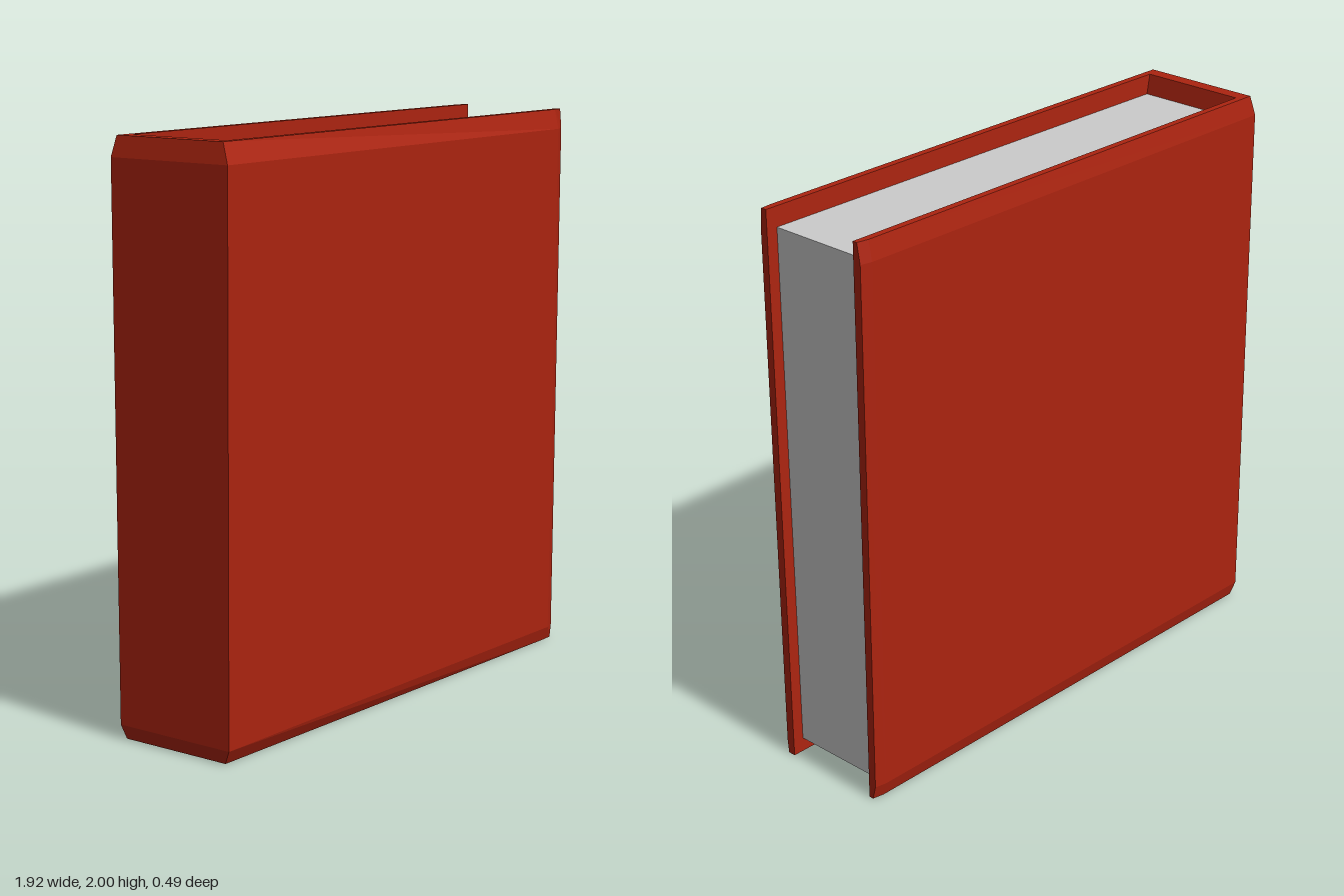
import * as THREE from 'three';

// Horizontal rings of the U-shaped cover, from bottom to top:
// y, spine outside x, spine inside x, back z, front outside z, fore-edge outside z, front inside z
const RINGS = [
  [0.0, -0.945, -0.895, -0.23, 0.2, 0.193, 0.168],
  [0.05, -0.96, -0.88, -0.243, 0.228, 0.198, 0.169],
  [1.93, -0.96, -0.88, -0.243, 0.245, 0.212, 0.187],
  [2.0, -0.945, -0.895, -0.23, 0.215, 0.206, 0.188],
];
const BACK_IN = -0.205;

function ringOutline([, xo, xi, zb, zf, ze, zi]) {
  return [
    [xo, zb], [0.915, zb], [0.957, zb + 0.008], [0.957, BACK_IN], [xi, BACK_IN],
    [xi, zi], [0.957, zi - 0.003], [0.957, ze], [0.915, ze + (zf - ze) * 0.45], [xo, zf],
  ].map(([x, z]) => new THREE.Vector2(x, z));
}

// Loft through the rings, closed by a cap at each end
function coverGeometry() {
  const outlines = RINGS.map(ringOutline);
  const n = outlines[0].length;
  const positions = [], index = [];
  outlines.forEach((ring, r) => ring.forEach((p) => positions.push(p.x, RINGS[r][0], p.y)));
  for (let r = 0; r < RINGS.length - 1; r++) {
    for (let i = 0; i < n; i++) {
      const a = r * n + i, b = r * n + (i + 1) % n;
      index.push(a, a + n, b + n, a, b + n, b);
    }
  }
  const top = (RINGS.length - 1) * n;
  for (const [a, b, c] of THREE.ShapeUtils.triangulateShape(outlines[0], [])) index.push(a, b, c);
  for (const [a, b, c] of THREE.ShapeUtils.triangulateShape(outlines[RINGS.length - 1], [])) {
    index.push(top + a, top + c, top + b);
  }
  const geometry = new THREE.BufferGeometry();
  geometry.setAttribute('position', new THREE.Float32BufferAttribute(positions, 3));
  geometry.setIndex(index);
  const flat = geometry.toNonIndexed();
  flat.computeVertexNormals();
  return flat;
}

export function createModel() {
  const book = new THREE.Group();
  book.name = 'book';

  // Cover: back board, spine and slightly slanted front board
  const cover = new THREE.Mesh(
    coverGeometry(),
    new THREE.MeshStandardMaterial({ color: 0xac2410, flatShading: true }),
  );
  cover.name = 'cover';

  // Block of pages, set in from the board edges
  const x0 = -0.882, x1 = 0.915, y0 = 0.05, y1 = 1.93, z0 = BACK_IN - 0.002, z1 = 0.187;
  const pages = new THREE.Mesh(
    new THREE.BoxGeometry(x1 - x0, y1 - y0, z1 - z0),
    new THREE.MeshStandardMaterial({ color: 0xcccccc }),
  );
  pages.position.set((x0 + x1) / 2, (y0 + y1) / 2, (z0 + z1) / 2);
  pages.name = 'pages';

  book.add(cover, pages);
  return book;
}
